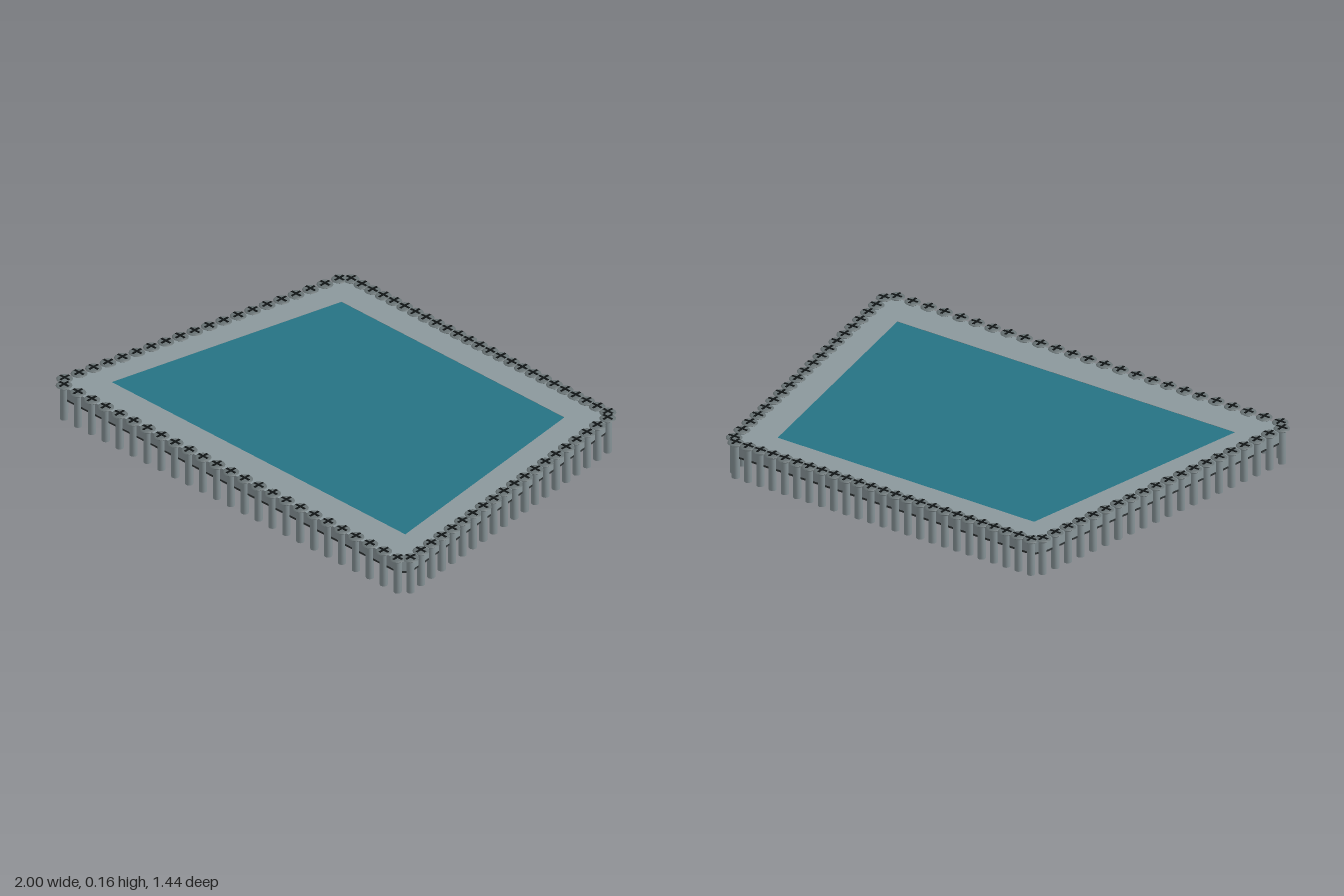
import * as THREE from 'three';
import { mergeGeometries } from 'three/addons/utils/BufferGeometryUtils.js';

const mat = (name, color) => {
  const m = new THREE.MeshStandardMaterial({ color });
  m.name = name;
  return m;
};

// Flat slab from a clockwise (x, z) outline, between two heights
function slab(outline, hole, bottom, top) {
  const pts = (list) => list.map(([x, z]) => new THREE.Vector2(x, z));
  const shape = new THREE.Shape(pts(outline));
  if (hole) shape.holes.push(new THREE.Path(pts(hole).reverse()));
  const geo = new THREE.ExtrudeGeometry(shape, { depth: top - bottom, bevelEnabled: false });
  return geo.rotateX(Math.PI / 2).translate(0, top, 0);
}

// Turned part from (radius, height) points, smooth across its edges
const turned = (profile) =>
  new THREE.LatheGeometry(profile.map(([r, y]) => new THREE.Vector2(r, y)), 16);

export function createModel() {
  const group = new THREE.Group();
  const grey = mat('frameGrey', 0x8c999d);
  const dark = mat('headGrey', 0x687274);
  const black = mat('slotBlack', 0x101415);
  const under = mat('undersideCharcoal', 0x303536);
  const teal = mat('panelTeal', 0x267384);
  const add = (name, geo, material) => {
    const mesh = new THREE.Mesh(geo, material);
    mesh.name = name;
    group.add(mesh);
  };

  // Trapezoid frame with clipped corners and a slanted opening
  const outline = [
    [-0.935, 0.687], [0.93, 0.687], [0.966, 0.65], [0.8, -0.655],
    [0.77, -0.687], [-0.665, -0.687], [-0.7, -0.655], [-0.968, 0.65],
  ];
  const opening = [[-0.824, 0.528], [0.818, 0.528], [0.663, -0.547], [-0.584, -0.547]];
  add('frame', slab(outline, opening, 0.097, 0.15), grey);
  add('panel', slab(opening, null, 0.108, 0.149), teal);

  // Dark lower layer of the frame, with a grey lining around its opening
  add('frameUnderside', slab(outline, opening, 0.088, 0.097), under);
  const inner = opening.map(([x, z]) => [x * 0.997, z * 0.997]);
  add('openingLining', slab(opening, inner, 0.088, 0.108), grey);

  // Pegs in a row along each of the four edges
  const posts = [], heads = [], slots = [];
  const place = (list, geo, x, y, z) => list.push(geo.translate(x, y, z));
  const row = ([x0, z0], [x1, z1], count) => {
    for (let i = 0; i < count; i++) {
      const t = i / (count - 1);
      const x = x0 + (x1 - x0) * t, z = z0 + (z1 - z0) * t;
      place(posts, turned([
        [0, 0], [0.0165, 0], [0.0165, 0.143], [0.024, 0.15], [0.034, 0.157],
      ]), x, 0, z);
      place(heads, turned([[0.034, 0.157], [0.027, 0.163], [0, 0.164]]), x, 0, z);
      // Cross slot in the head
      place(slots, new THREE.BoxGeometry(0.05, 0.003, 0.01), x, 0.1633, z);
      place(slots, new THREE.BoxGeometry(0.01, 0.003, 0.05), x, 0.1633, z);
    }
  };
  row(outline[0], outline[1], 25);
  row(outline[2], outline[3], 20);
  row(outline[4], outline[5], 25);
  row(outline[6], outline[7], 20);
  add('pegPosts', mergeGeometries(posts), grey);
  add('pegHeads', mergeGeometries(heads), dark);
  add('pegCrossSlots', mergeGeometries(slots), black);
  return group;
}
